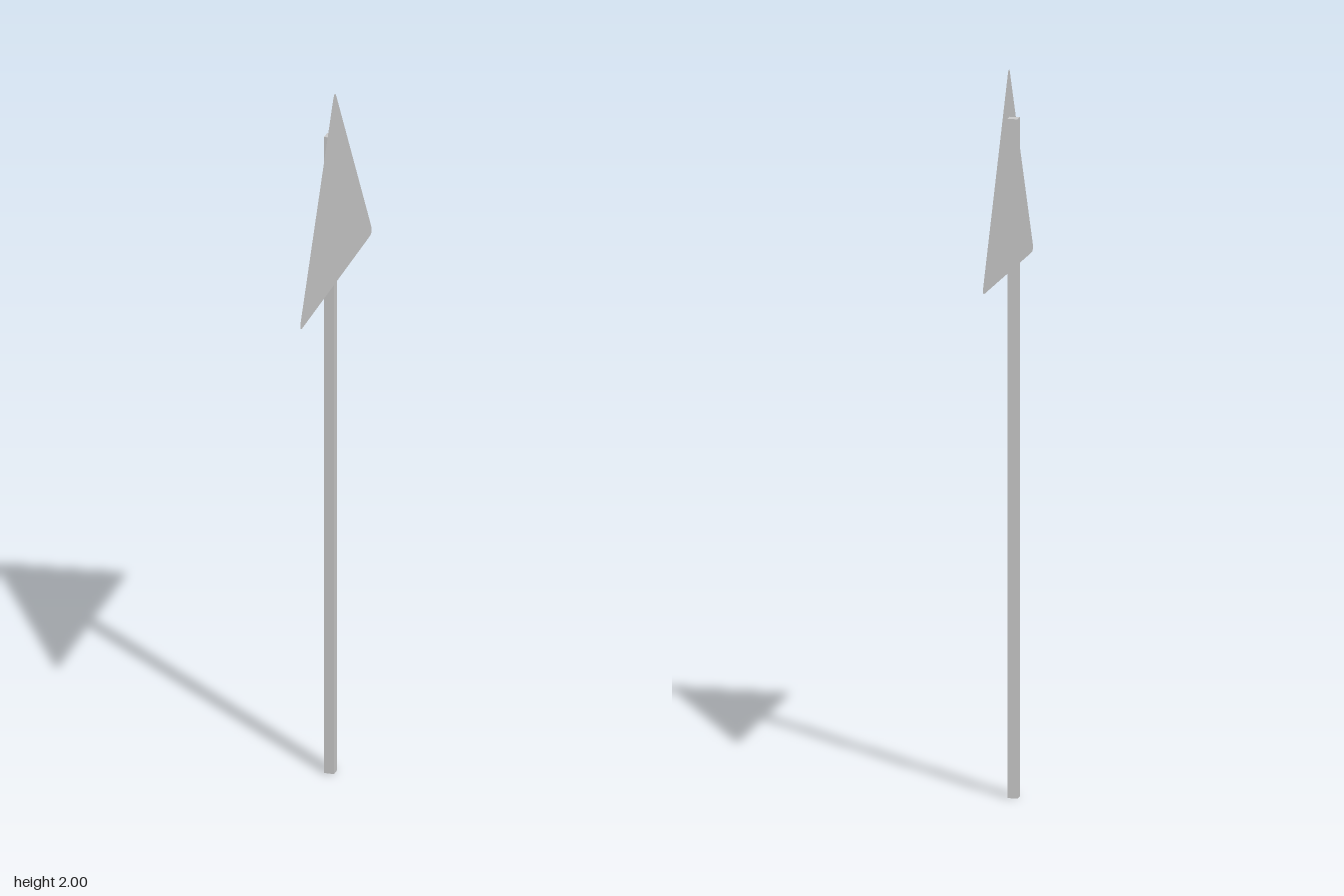
import * as THREE from 'three';

// Closed outline through the given corners, each rounded by trimming its edges
function roundedPolygon(corners, trim) {
  const shape = new THREE.Shape();
  const n = corners.length;
  corners.forEach((c, i) => {
    const toward = (o) => c.clone().add(o.clone().sub(c).setLength(trim));
    const start = toward(corners[(i + n - 1) % n]);
    const end = toward(corners[(i + 1) % n]);
    if (i === 0) shape.moveTo(start.x, start.y);
    else shape.lineTo(start.x, start.y);
    shape.quadraticCurveTo(c.x, c.y, end.x, end.y);
  });
  shape.closePath();
  return shape;
}

export function createModel() {
  const group = new THREE.Group();
  const material = new THREE.MeshStandardMaterial({ color: 0xcccccc });
  const sheetMaterial = new THREE.MeshStandardMaterial({ color: 0xcccccc, side: THREE.DoubleSide });

  // Square post
  const poleHeight = 1.87;
  const pole = new THREE.Mesh(new THREE.BoxGeometry(0.028, poleHeight, 0.029), material);
  pole.name = 'pole';
  pole.position.set(-0.001, poleHeight / 2, -0.002);
  group.add(pole);

  // Thin triangular plate, slightly tilted, facing +x just off the post
  const corners = [
    new THREE.Vector2(-0.335, 1.434),
    new THREE.Vector2(0.334, 1.449),
    new THREE.Vector2(-0.013, 2.013),
  ];
  const plateGeometry = new THREE.ShapeGeometry(roundedPolygon(corners, 0.03), 6);
  plateGeometry.rotateY(Math.PI / 2);
  const plate = new THREE.Mesh(plateGeometry, sheetMaterial);
  plate.name = 'signPlate';
  plate.position.x = 0.015;
  group.add(plate);

  return group;
}
